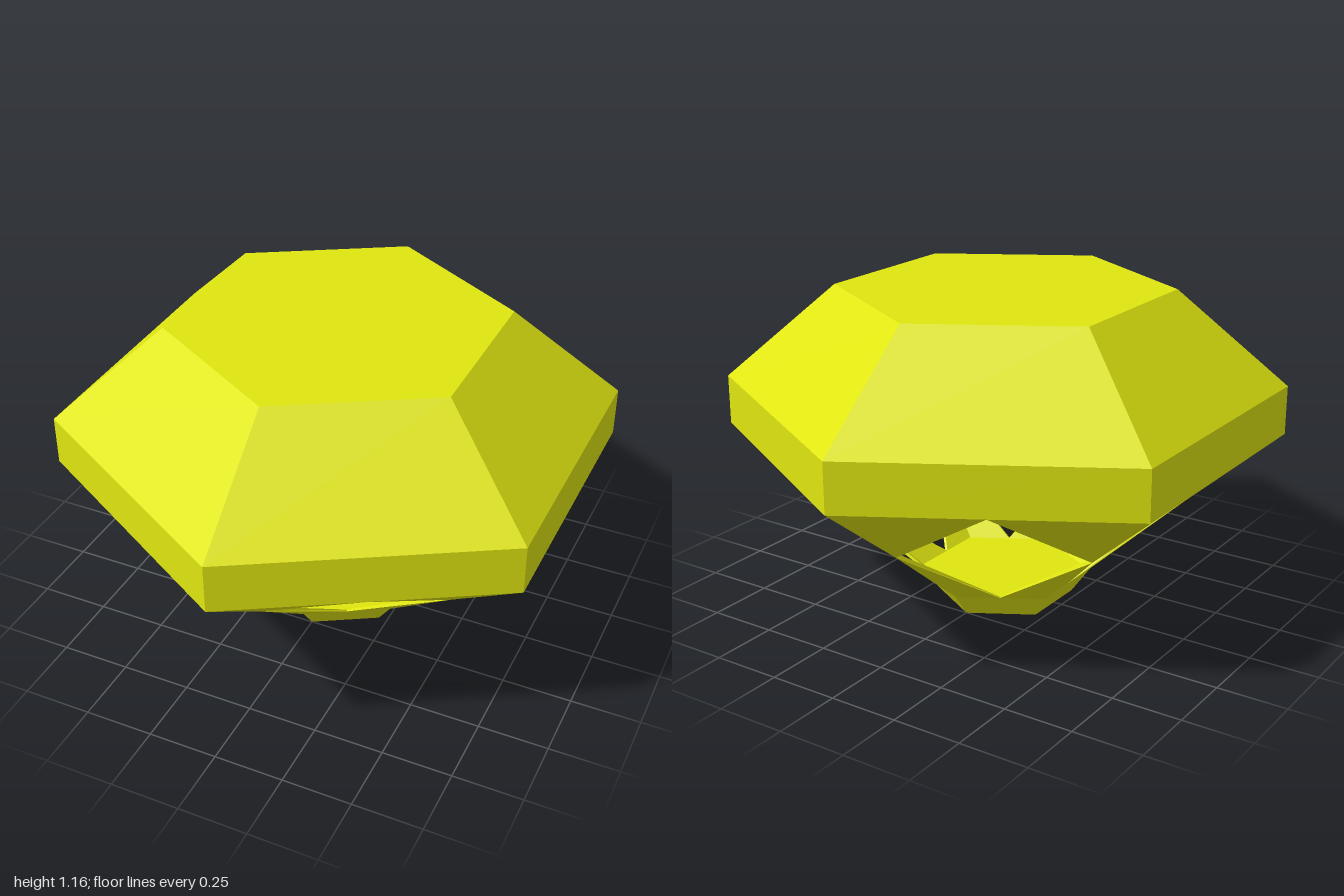
import * as THREE from 'three';

const SIDES = 6;
const WALL = 0.96;                 // inner shell radius relative to the outer
const APOTHEM = Math.cos(Math.PI / SIDES);

// Ring radius and height, from the foot up to the flat top
const FOOT = [0.25, 0], NECK = [0.317, 0.09], WAIST = [0.652, 0.365];
const GIRDLE_LOW = [1, 0.635], GIRDLE_HIGH = [1, 0.813], TOP = [0.6, 1.157];
const CEILING = [0.6, 1.135];

const material = new THREE.MeshStandardMaterial({ color: 0xe0e610, flatShading: true });

// Corner k of a ring; halves give the middle of a side
function point([radius, y], k, scale = 1) {
  const r = radius * scale * (k % 1 ? APOTHEM : 1);
  const a = (k * 2 * Math.PI) / SIDES;
  return [r * Math.sin(a), y, r * Math.cos(a)];
}

// Mesh from convex polygons, corners counter-clockwise from the front
function facets(name, polygons) {
  const positions = [];
  for (const p of polygons) {
    for (let i = 1; i < p.length - 1; i++) positions.push(...p[0], ...p[i], ...p[i + 1]);
  }
  const geometry = new THREE.BufferGeometry();
  geometry.setAttribute('position', new THREE.Float32BufferAttribute(positions, 3));
  geometry.computeVertexNormals();
  const mesh = new THREE.Mesh(geometry, material);
  mesh.name = name;
  return mesh;
}

const steps = [...Array(SIDES).keys()];
const flip = (polygons) => polygons.map((p) => [...p].reverse());

// Band of six quads between two rings
const band = (low, high, scale = 1) => steps.map((k) => [
  point(low, k, scale), point(low, k + 1, scale), point(high, k + 1, scale), point(high, k, scale),
]);

// Six-sided plate facing up
const plate = (ring, scale = 1) => [steps.map((k) => point(ring, k, scale))];

// Kite-shaped struts at the six corners: a wide triangle pair above, a narrow one below
const struts = (scale = 1) => steps.flatMap((k) => {
  const waist = point(WAIST, k, scale);
  const high = point(GIRDLE_LOW, k, scale), low = point(NECK, k, scale);
  return [
    [waist, point(GIRDLE_LOW, k + 0.5, scale), high],
    [waist, high, point(GIRDLE_LOW, k - 0.5, scale)],
    [waist, low, point(NECK, k + 0.5, scale)],
    [waist, point(NECK, k - 0.5, scale), low],
  ];
});

// Wall thickness around the diamond opening in each side
const openingEdges = () => steps.flatMap((k) => {
  const rim = (s) => [
    point(NECK, k + 0.5, s), point(WAIST, k + 1, s), point(GIRDLE_LOW, k + 0.5, s), point(WAIST, k, s),
  ];
  const outer = rim(1), inner = rim(WALL);
  return outer.map((p, i) => {
    const j = (i + 1) % 4;
    return [p, outer[j], inner[j], inner[i]];
  });
});

export function createModel() {
  const model = new THREE.Group();
  model.name = 'gem';
  model.add(
    facets('tableTop', plate(TOP)),
    facets('crown', band(GIRDLE_HIGH, TOP)),
    facets('girdle', band(GIRDLE_LOW, GIRDLE_HIGH)),
    facets('cornerStruts', struts()),
    facets('foot', [...band(FOOT, NECK), ...flip(plate(FOOT))]),
    facets('openingEdges', openingEdges()),
    // Hollow inside
    facets('innerFloor', plate(NECK)),
    facets('innerStruts', flip(struts(WALL))),
    facets('innerGirdle', flip(band(GIRDLE_LOW, GIRDLE_HIGH, WALL))),
    facets('innerCrown', flip(band(GIRDLE_HIGH, CEILING, WALL))),
    facets('innerCeiling', flip(plate(CEILING, WALL))),
  );
  return model;
}
